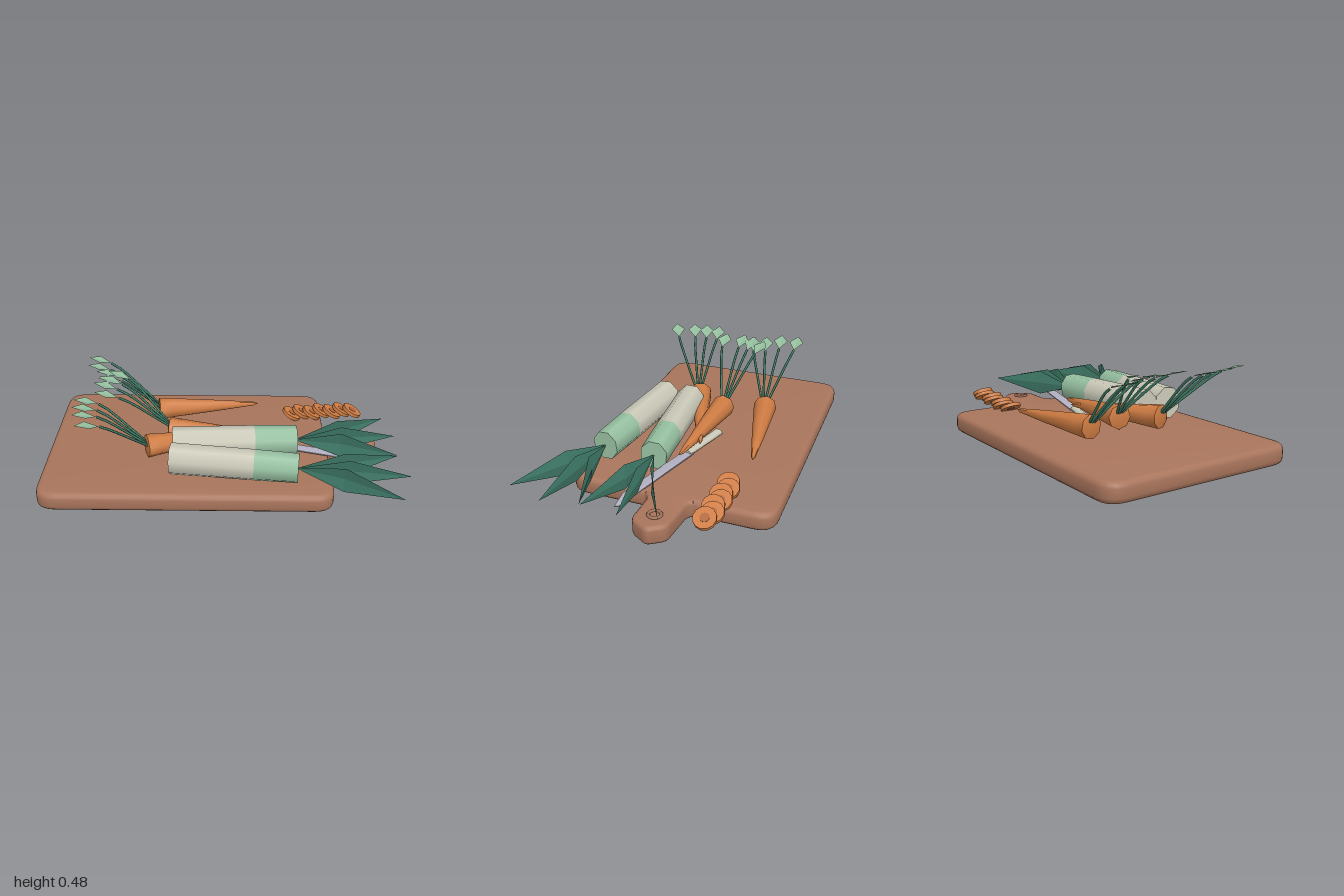
import * as THREE from 'three';
import { toCreasedNormals } from 'three/addons/utils/BufferGeometryUtils.js';

const V = (x, y, z) => new THREE.Vector3(x, y, z);
const paint = (name, color, side = THREE.FrontSide) => {
  const m = new THREE.MeshStandardMaterial({ color, side });
  m.name = name;
  return m;
};

export function createModel() {
  const root = new THREE.Group();
  root.name = 'cuttingBoardWithVegetables';
  const wood = paint('wood', 0xa9755c);
  const orange = paint('carrotOrange', 0xcf7c43);
  const core = paint('carrotCore', 0xb0683c);
  const stemGreen = paint('stemGreen', 0x448069);
  const leafGreen = paint('paleLeafGreen', 0x93bd9d, THREE.DoubleSide);
  const darkGreen = paint('darkLeafGreen', 0x3f7a68, THREE.DoubleSide);
  const white = paint('leekWhite', 0xcbcab9);
  const leekGreen = paint('leekGreen', 0x98c2a2);
  const steel = paint('bladeSteel', 0xb4b2c3);

  const add = (parent, name, geo, mat) => {
    const m = new THREE.Mesh(geo, mat);
    m.name = name;
    parent.add(m);
    return m;
  };
  const group = (name) => {
    const g = new THREE.Group();
    g.name = name;
    root.add(g);
    return g;
  };
  // Turns a mesh built along +y so it runs from a towards b
  const aim = (mesh, a, b) => {
    mesh.position.copy(a);
    mesh.quaternion.setFromUnitVectors(V(0, 1, 0), b.clone().sub(a).normalize());
    return mesh;
  };
  // Flat-lying bevelled slab from an outline in x and -z
  const slab = (shape, height, bevel) => {
    const g = new THREE.ExtrudeGeometry(shape, {
      depth: height - 2 * bevel, bevelThickness: bevel, bevelSize: bevel,
      bevelOffset: -bevel, bevelSegments: 3, curveSegments: 6,
    });
    g.rotateX(-Math.PI / 2).translate(0, bevel, 0);
    return toCreasedNormals(g, 0.7);
  };
  // Open surface from a few corners
  const sheet = (points, index) => {
    const g = new THREE.BufferGeometry().setFromPoints(points);
    g.setIndex(index);
    const flat = g.toNonIndexed();
    flat.computeVertexNormals();
    return flat;
  };

  // Board
  const board = group('board');
  const [x0, x1, y0, y1, r] = [-1, 0.6, -0.49, 0.64, 0.11];
  const outline = new THREE.Shape();
  outline.moveTo(x0 + r, y0).lineTo(x1 - r, y0).quadraticCurveTo(x1, y0, x1, y0 + r);
  outline.lineTo(x1, y1 - r).quadraticCurveTo(x1, y1, x1 - r, y1);
  outline.lineTo(x0 + r, y1).quadraticCurveTo(x0, y1, x0, y1 - r);
  outline.lineTo(x0, y0 + r).quadraticCurveTo(x0, y0, x0 + r, y0);
  add(board, 'boardSlab', slab(outline, 0.105, 0.03), wood);
  const grip = new THREE.Shape();
  grip.moveTo(0.54, -0.05).lineTo(0.6, -0.05).quadraticCurveTo(0.61, -0.025, 0.65, -0.02);
  grip.lineTo(0.8, -0.025).quadraticCurveTo(0.835, -0.02, 0.85, 0.005);
  grip.lineTo(0.88, 0.055).quadraticCurveTo(0.9, 0.08, 0.88, 0.105);
  grip.lineTo(0.85, 0.15).quadraticCurveTo(0.83, 0.175, 0.8, 0.175);
  grip.lineTo(0.65, 0.19).quadraticCurveTo(0.61, 0.195, 0.6, 0.22).lineTo(0.54, 0.22);
  add(board, 'boardHandle', slab(grip, 0.104, 0.022), wood);
  const ring = add(board, 'handleRing', new THREE.TorusGeometry(0.033, 0.009, 6, 16), wood);
  ring.rotation.x = Math.PI / 2;
  ring.position.set(0.77, 0.106, -0.08);

  // Carrots: crown, tip, then the z of each stem end with its x
  const carrots = [
    [V(-0.395, 0.18, -0.31), V(0.21, 0.165, -0.41),
      [[-0.68, -0.4], [-0.67, -0.31], [-0.61, -0.24], [-0.59, -0.17]]],
    [V(-0.315, 0.18, -0.075), V(0.3, 0.165, -0.025),
      [[-0.54, -0.19], [-0.58, -0.13], [-0.6, -0.07], [-0.58, 0.03]]],
    [V(-0.43, 0.18, 0.115), V(0.15, 0.165, -0.09),
      [[-0.68, 0.1], [-0.68, 0.17], [-0.67, 0.24], [-0.64, 0.34]]],
  ];
  carrots.forEach(([a, b, ends], i) => {
    const g = group('carrot' + (i + 1));
    const len = a.distanceTo(b);
    const profile = [[0, 0], [0.055, 0], [0.068, 0.008], [0.062, 0.12], [0.035, 0.6], [0.012, 0.95], [0, 1]]
      .map(([rad, t]) => new THREE.Vector2(rad, t * len));
    const body = toCreasedNormals(new THREE.LatheGeometry(profile, 8), 0.9);
    aim(add(g, 'carrotBody', body, orange), a, b);
    const back = a.clone().sub(b).setY(0).normalize();
    ends.forEach(([x, z], k) => {
      const end = V(x, 0.44, z);
      const start = a.clone().add(V(0.01, 0.02, (z - a.z) * 0.12));
      const bend = start.clone().lerp(end, 0.68).add(V(-0.02, 0.035, (z - a.z) * 0.12));
      const path = new THREE.CurvePath();
      path.add(new THREE.LineCurve3(start, bend));
      path.add(new THREE.LineCurve3(bend, end));
      add(g, 'carrotStem', new THREE.TubeGeometry(path, 6, 0.0075, 5), stemGreen);
      // Diamond leaf at the stem end
      const dir = back.clone().add(V(0, 0, (k - 1.5) * 0.1)).normalize();
      const side = V(-dir.z, 0, dir.x);
      const mid = end.clone().addScaledVector(dir, 0.065).add(V(0, 0.026, 0));
      const tip = end.clone().addScaledVector(dir, 0.13).add(V(0, 0.038, 0));
      const l = mid.clone().addScaledVector(side, 0.042);
      const q = mid.clone().addScaledVector(side, -0.042);
      add(g, 'carrotLeaf', sheet([end, l, tip, q], [0, 1, 2, 0, 2, 3]), leafGreen);
    });
  });

  // Leeks: root end, cut end, leaf tips
  const leeks = [
    [V(-0.28, 0.207, 0.125), V(0.41, 0.205, 0.077), [[0.93, -0.165], [0.97, 0.03], [0.95, 0.23]]],
    [V(-0.28, 0.207, 0.28), V(0.405, 0.205, 0.362), [[0.95, 0.235], [0.99, 0.43], [0.92, 0.635]]],
  ];
  leeks.forEach(([a, b, tips], i) => {
    const g = group('leek' + (i + 1));
    const split = a.clone().lerp(b, 0.66);
    [['leekShaft', a, split, 0.093, 0.09, white], ['leekTop', split, b, 0.09, 0.085, leekGreen]]
      .forEach(([name, p, q, ra, rb, mat]) => {
        const len = p.distanceTo(q);
        const geo = new THREE.CylinderGeometry(rb, ra, len, 8);
        geo.rotateY(Math.PI / 8).translate(0, len / 2, 0).scale(1, 1, 0.9);
        aim(add(g, name, geo, mat), p, q);
      });
    // Upright kite leaves, bowed and folded along the middle
    tips.forEach(([x, z], k) => {
      const base = b.clone().add(V(-0.01, 0, 0));
      const tip = V(x, 0.205, z);
      const mid = base.clone().lerp(tip, 0.46).add(V(0, 0, -(k - 1) * 0.022));
      const up = mid.clone().add(V(0, 0.073, 0.005));
      const low = mid.clone().add(V(0, -0.073, 0.005));
      mid.z -= 0.008;
      add(g, 'leekLeaf', sheet([base, up, tip, low, mid],
        [0, 4, 1, 1, 4, 2, 2, 4, 3, 3, 4, 0]), darkGreen);
    });
  });

  // Knife lying under the leeks
  const knife = group('knife');
  const bladeShape = new THREE.Shape();
  bladeShape.moveTo(0.27, 0.03).lineTo(0.27, -0.03).lineTo(0.8, -0.03)
    .lineTo(0.91, 0.012).lineTo(0.9, 0.03);
  add(knife, 'blade', slab(bladeShape, 0.008, 0.002), steel).position.y = 0.012;
  const handle = add(knife, 'knifeHandle', new THREE.CylinderGeometry(0.024, 0.028, 0.3, 8), white);
  handle.rotation.z = -Math.PI / 2;
  handle.scale.x = 0.65;
  handle.position.set(0.14, 0.018, 0);
  knife.position.set(-0.08, 0.105, -0.115);
  knife.rotation.y = -0.28;

  // Row of leaning carrot slices
  const slices = group('carrotSlices');
  for (let i = 0; i < 7; i++) {
    const s = new THREE.Group();
    s.name = 'carrotSlice';
    add(s, 'sliceDisc', new THREE.CylinderGeometry(0.06, 0.06, 0.02, 12), orange);
    add(s, 'sliceCore', new THREE.CylinderGeometry(0.025, 0.025, 0.024, 10), core);
    s.position.set(0.415 + i * 0.061, 0.132 + i * 0.004, -0.35 + (i % 2 ? -0.012 : 0.006));
    s.rotation.z = -0.5;
    slices.add(s);
  }
  return root;
}
